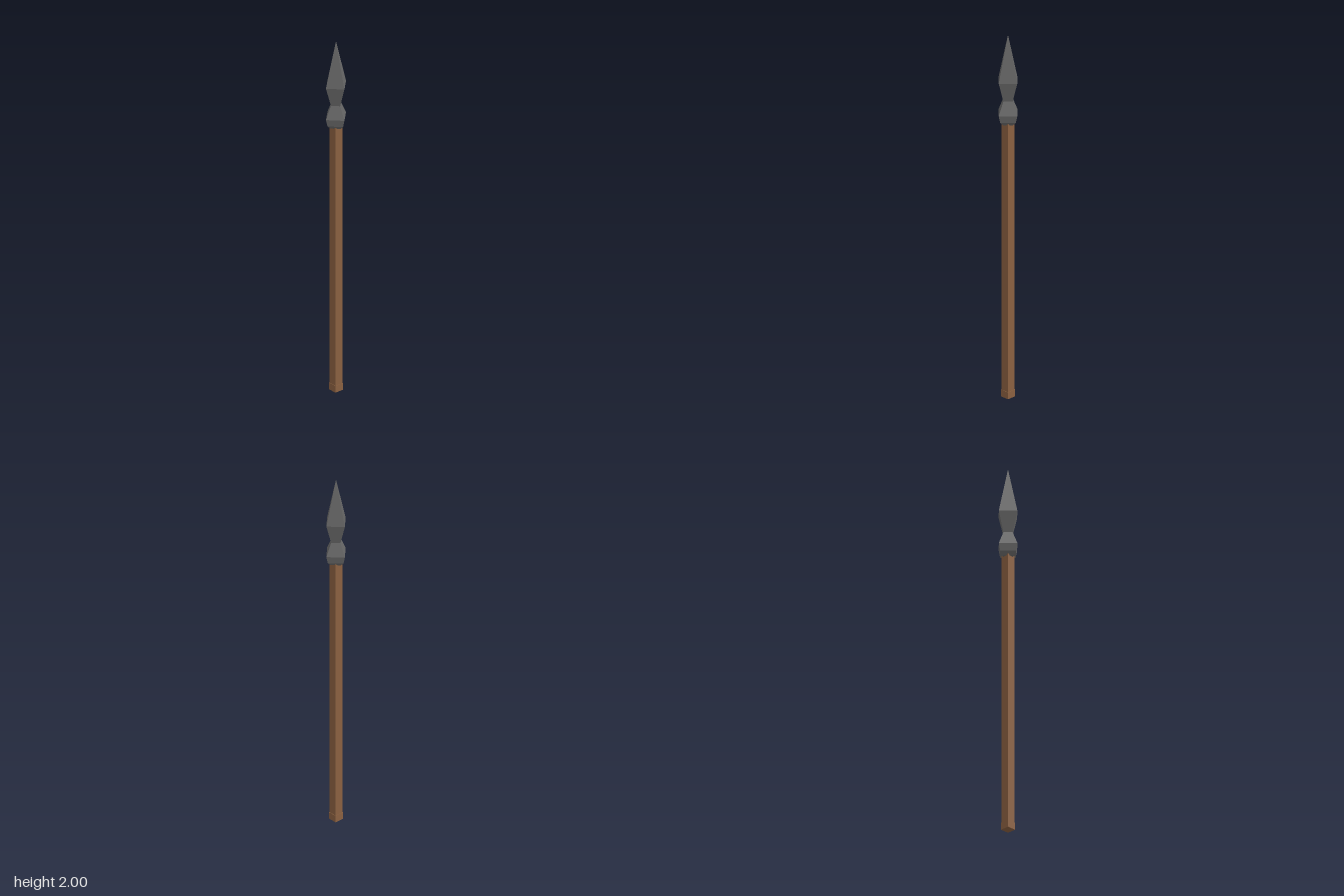
import * as THREE from 'three';

const wood = new THREE.MeshStandardMaterial({ name: 'wood', color: 0x8a6040 });
const iron = new THREE.MeshStandardMaterial({ name: 'iron', color: 0x666666 });

export function createModel() {
  const spear = new THREE.Group();
  spear.name = 'spear';

  const add = (name, geometry, material, y = 0) => {
    const mesh = new THREE.Mesh(geometry, material);
    mesh.name = name;
    mesh.position.y = y;
    spear.add(mesh);
  };

  // Square wooden shaft with a slightly wider butt
  add('shaft', new THREE.BoxGeometry(0.047, 1.5, 0.047), wood, 0.78);
  add('shaftButt', new THREE.BoxGeometry(0.051, 0.038, 0.051), wood, 0.019);

  // Four-sided head: socket, collar, narrow neck, blade; corners face the axes
  const profile = [
    [0, 1.51], [0.035, 1.51], [0.056, 1.53], [0.066, 1.57],
    [0.033, 1.64], [0.066, 1.75], [0, 2],
  ].map(([r, y]) => new THREE.Vector2(r, y));
  const head = new THREE.LatheGeometry(profile, 4).toNonIndexed();
  head.computeVertexNormals(); // separate corners give flat facets
  add('spearhead', head, iron);

  return spear;
}
